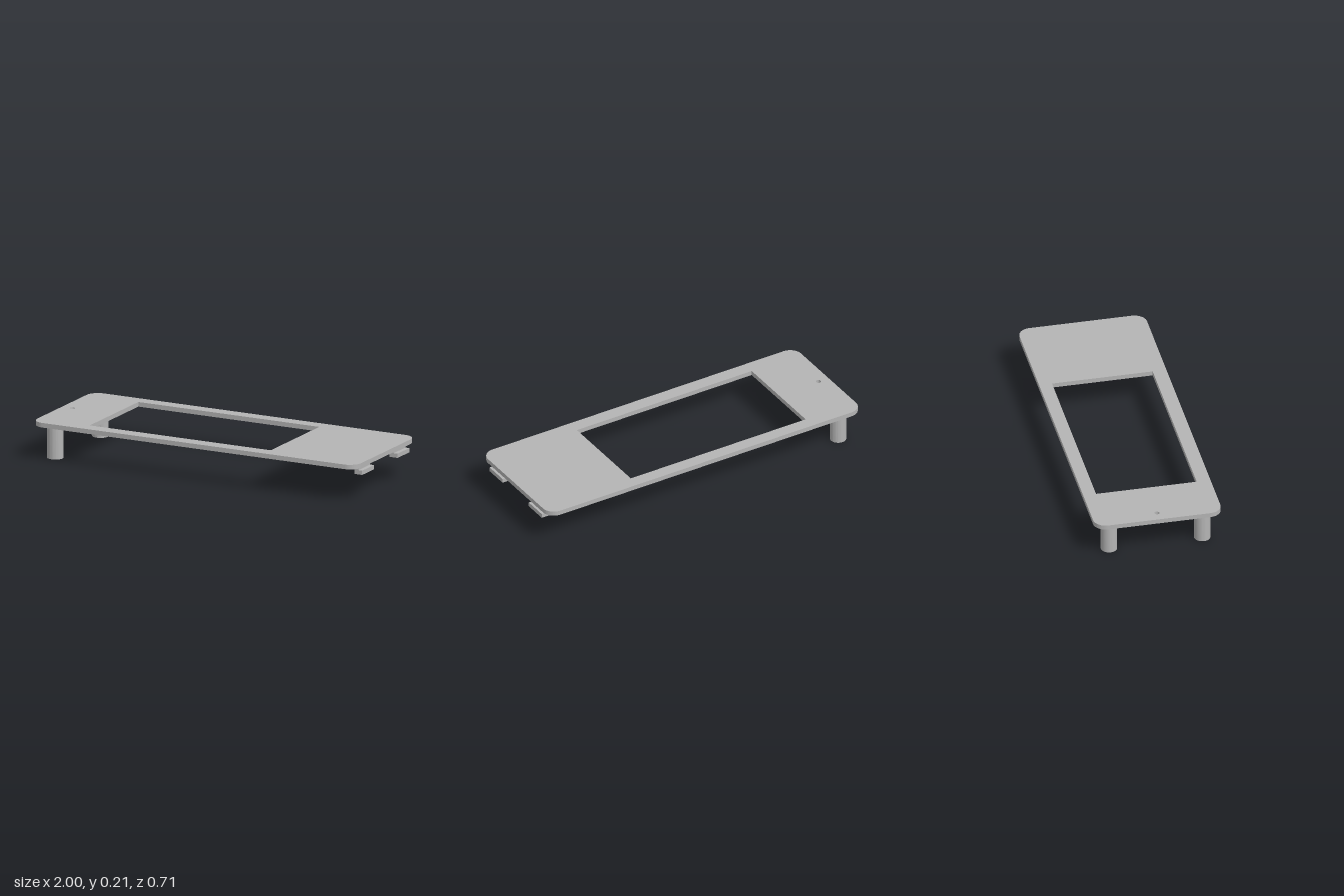
import * as THREE from 'three';
import { toCreasedNormals } from 'three/addons/utils/BufferGeometryUtils.js';

const TOP = 0.213, UNDER = 0.187;

export function createModel() {
  const group = new THREE.Group();
  const grey = new THREE.MeshStandardMaterial({ color: 0xb4b4b4 });
  grey.name = 'grey plastic';

  const add = (name, geometry) => {
    const mesh = new THREE.Mesh(geometry, grey);
    mesh.name = name;
    group.add(mesh);
  };
  // Box given by its limits on each axis
  const block = (name, x0, x1, y0, y1, z0, z1) => {
    const g = new THREE.BoxGeometry(x1 - x0, y1 - y0, z1 - z0);
    add(name, g.translate((x0 + x1) / 2, (y0 + y1) / 2, (z0 + z1) / 2));
  };

  // Face plate with rounded corners, a window and a small round hole
  const w = 1, d = 0.355, r = 0.07;
  const outline = new THREE.Shape();
  outline.absarc(w - r, d - r, r, 0, Math.PI / 2);
  outline.absarc(r - w, d - r, r, Math.PI / 2, Math.PI);
  outline.absarc(r - w, r - d, r, Math.PI, Math.PI * 1.5);
  outline.absarc(w - r, r - d, r, Math.PI * 1.5, Math.PI * 2);
  outline.closePath();
  const win = new THREE.Path();
  win.moveTo(-0.68, -0.283).lineTo(-0.68, 0.278).lineTo(0.437, 0.278).lineTo(0.437, -0.283).closePath();
  const hole = new THREE.Path().absarc(-0.936, 0, 0.014, 0, Math.PI * 2, true);
  outline.holes.push(win, hole);
  const plate = new THREE.ExtrudeGeometry(outline, { depth: TOP - UNDER, bevelEnabled: false, curveSegments: 16 });
  plate.rotateX(Math.PI / 2).translate(0, TOP, 0);
  add('facePlate', toCreasedNormals(plate, 0.6));

  // Long rib under the plate beside the window
  block('rib', 0.5, 0.523, 0.167, UNDER, -0.27, 0.27);

  // Screw post profile with a blind hole in its foot
  const profile = [[0, 0.15], [0.014, 0.15], [0.014, 0], [0.045, 0], [0.045, UNDER]]
    .map(([x, y]) => new THREE.Vector2(x, y));

  for (const s of [1, -1]) {
    const side = s > 0 ? 'Front' : 'Back';
    const span = (a, b) => [Math.min(a * s, b * s), Math.max(a * s, b * s)];
    const post = new THREE.LatheGeometry(profile, 40).translate(-0.902, 0, s * 0.26);
    add('screwPost' + side, toCreasedNormals(post, 0.6));
    // Short rib running into the post
    block('postRib' + side, -0.878, -0.855, 0.167, UNDER, ...span(0.17, 0.27));
    // Hooked clip: stem and outward lip
    block('clipStem' + side, 0.95, 0.975, 0.143, UNDER, ...span(0.136, 0.272));
    block('clipLip' + side, 0.975, 0.999, 0.143, 0.167, ...span(0.136, 0.272));
  }
  return group;
}
